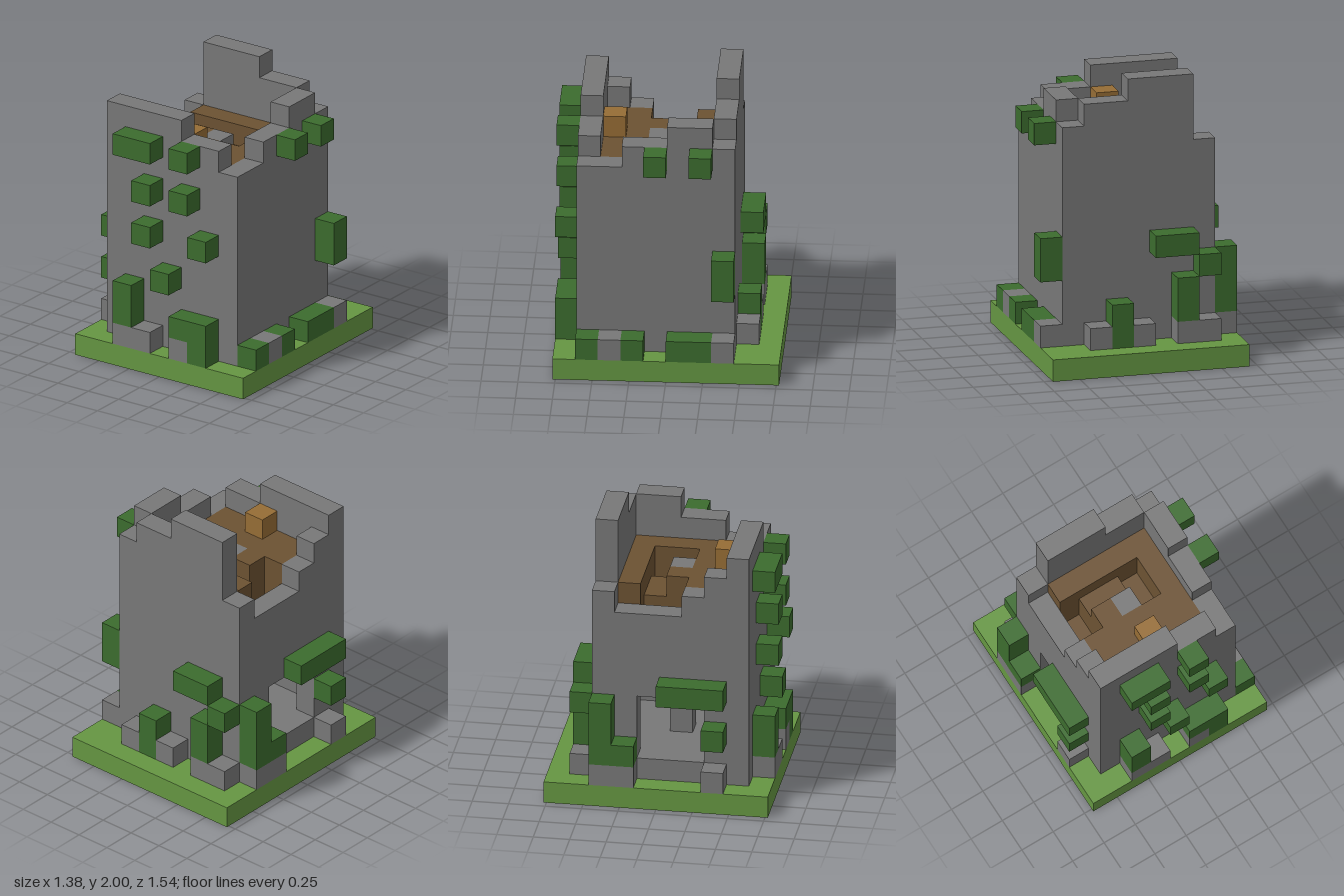
import * as THREE from 'three';

const U = 2 / 13; // edge of one cube

export function createModel() {
  const model = new THREE.Group();
  model.name = 'ruinedTower';

  const mat = (name, color) => {
    const m = new THREE.MeshStandardMaterial({ color });
    m.name = name;
    return m;
  };
  const stone = mat('stone', 0x787878);
  const grass = mat('grass', 0x659642);
  const leaf = mat('leaf', 0x3c6c2e);
  const wood = mat('wood', 0x6c5232);
  const crate = mat('crateWood', 0x966d35);

  // Each block is [x0, x1, y0, y1, z0, z1] in cubes, ends exclusive
  const part = (name, material, blocks) => {
    const group = new THREE.Group();
    group.name = name;
    for (const [x0, x1, y0, y1, z0, z1] of blocks) {
      const geo = new THREE.BoxGeometry((x1 - x0) * U, (y1 - y0) * U, (z1 - z0) * U);
      geo.translate(((x0 + x1) / 2 - 4.5) * U, ((y0 + y1) / 2) * U, ((z0 + z1) / 2 - 5) * U);
      const mesh = new THREE.Mesh(geo, material);
      mesh.name = name + 'Block';
      group.add(mesh);
    }
    model.add(group);
  };

  part('ground', grass, [[0, 9, 0, 1, 0, 10]]);

  // Walls with broken tops
  part('frontWall', stone, [
    [1, 5, 1, 12, 8, 9],
    [5, 7, 1, 11, 8, 9],
  ]);
  part('leftWall', stone, [
    [7, 8, 1, 10, 7, 9],
    [7, 8, 1, 11, 5, 7],
    [7, 8, 1, 12, 3, 5],
    [7, 8, 1, 11, 2, 3],
  ]);
  part('backWall', stone, [
    [1, 2, 1, 10, 2, 3],
    [2, 5, 1, 13, 2, 3],
    [5, 7, 1, 12, 2, 3],
  ]);
  // Wall with the doorway
  part('rightWall', stone, [
    [1, 2, 1, 9, 3, 4],
    [1, 2, 1, 2, 4, 7],
    [1, 2, 5, 9, 4, 6],
    [1, 2, 5, 10, 6, 7],
    [1, 2, 1, 11, 7, 8],
  ]);
  part('groundFloor', stone, [[2, 7, 1, 2, 3, 8]]);

  // Upper floor around the stairwell
  part('upperFloor', wood, [
    [2, 7, 6, 10, 3, 4],
    [6, 7, 6, 10, 4, 6],
    [2, 7, 6, 10, 6, 8],
    [3, 4, 6, 10, 5, 6],
  ]);
  part('stairs', wood, [
    [3, 5, 6, 9, 4, 5],
    [5, 6, 6, 8, 4, 6],
    [2, 3, 6, 7, 4, 6],
  ]);
  part('stairPost', stone, [[4, 5, 2, 10, 5, 6]]);
  part('crate', crate, [[4, 5, 10, 11, 7, 8]]);

  // Fallen stones round the foot
  part('rubble', stone, [
    [2, 4, 1, 2, 9, 10],
    [5, 6, 1, 2, 9, 10],
    [8, 9, 1, 2, 7, 8],
    [8, 9, 1, 2, 2, 3],
    [6, 7, 1, 2, 1, 2],
    [4, 5, 1, 2, 1, 2],
    [1, 3, 1, 2, 1, 2],
    [0, 1, 1, 2, 2, 4],
    [0, 1, 1, 2, 7, 8],
  ]);

  // Climbing plants on each side
  part('frontIvy', leaf, [
    [2, 4, 10, 11, 9, 10],
    [5, 6, 10, 11, 9, 10],
    [3, 4, 8, 9, 9, 10],
    [5, 6, 8, 9, 9, 10],
    [3, 4, 6, 7, 9, 10],
    [6, 7, 6, 7, 9, 10],
    [4, 5, 4, 5, 9, 10],
    [2, 3, 2, 4, 9, 10],
    [5, 6, 2, 3, 9, 10],
    [6, 7, 1, 3, 9, 10],
  ]);
  part('leftIvy', leaf, [
    [8, 9, 10, 11, 5, 6],
    [8, 9, 10, 11, 3, 4],
    [8, 9, 4, 6, 2, 3],
    [8, 9, 1, 2, 8, 9],
    [8, 9, 1, 2, 6, 7],
    [8, 9, 1, 2, 3, 5],
  ]);
  part('backIvy', leaf, [
    [2, 4, 5, 6, 1, 2],
    [1, 2, 4, 5, 1, 2],
    [2, 3, 2, 4, 1, 2],
    [5, 6, 1, 3, 1, 2],
  ]);
  part('rightIvy', leaf, [
    [0, 1, 5, 6, 5, 8],
    [0, 1, 3, 4, 7, 8],
    [0, 1, 2, 5, 2, 3],
    [0, 1, 2, 3, 3, 4],
  ]);

  return model;
}
